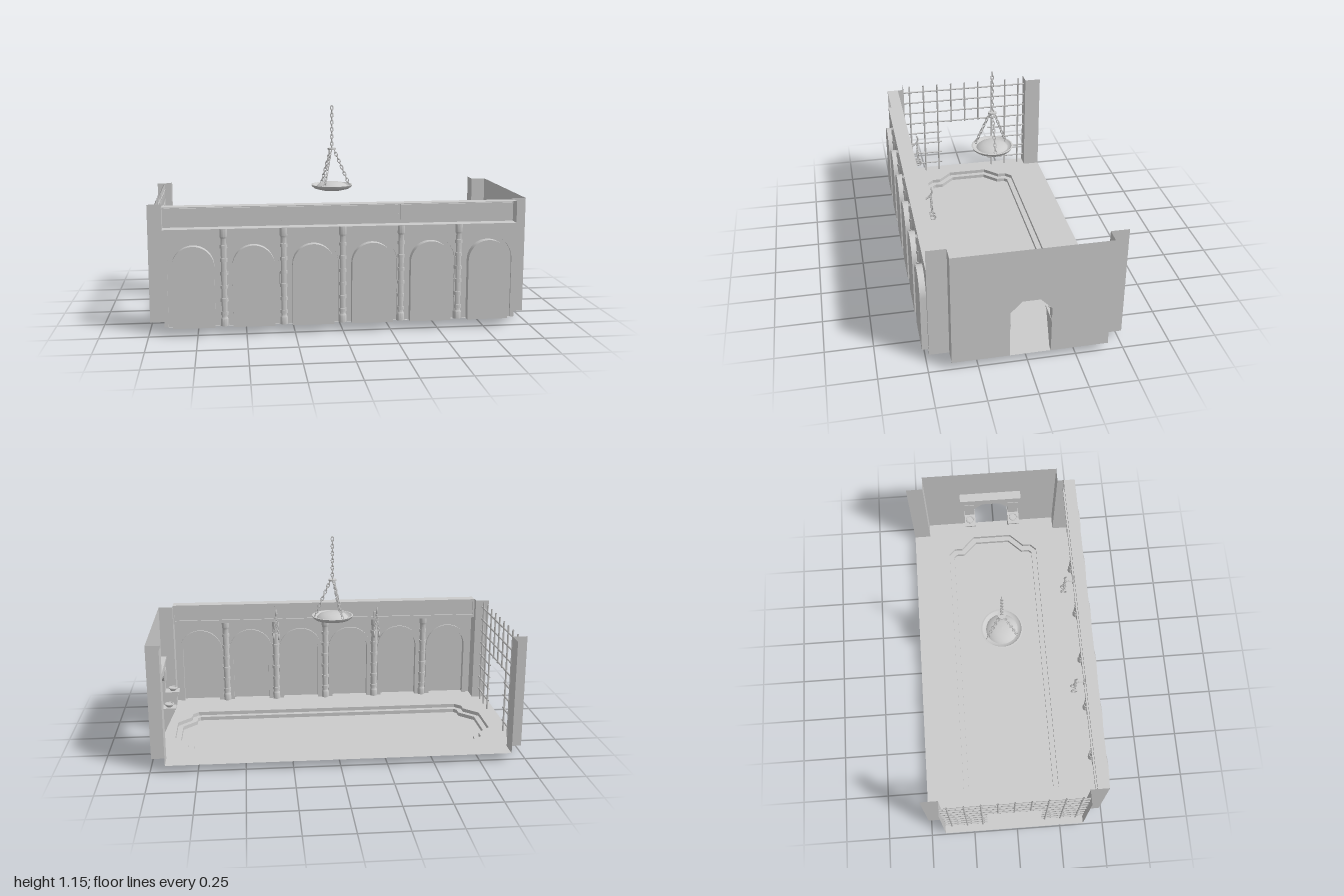
import * as THREE from 'three';
import { toCreasedNormals, mergeGeometries } from 'three/addons/utils/BufferGeometryUtils.js';

const F = 0.042, TOP = 0.665, ZC = -0.018; // floor height, wall top, centre line of the room in z
const mat = new THREE.MeshStandardMaterial({ color: 0xcccccc, side: THREE.DoubleSide });
const V = (x, y, z) => new THREE.Vector3(x, y, z);

function add(parent, name, geo, x = 0, y = 0, z = 0) {
  const m = new THREE.Mesh(geo, mat);
  m.name = name;
  m.position.set(x, y, z);
  parent.add(m);
  return m;
}

// Sheet spanning rows of points
function sheet(rows) {
  const p = [];
  for (let i = 0; i + 1 < rows.length; i++)
    for (let j = 0; j + 1 < rows[i].length; j++) {
      const [a, b, c, d] = [rows[i][j], rows[i][j + 1], rows[i + 1][j + 1], rows[i + 1][j]];
      for (const v of [a, b, c, a, c, d]) p.push(v.x, v.y, v.z);
    }
  const g = new THREE.BufferGeometry();
  g.setAttribute('position', new THREE.Float32BufferAttribute(p, 3));
  g.computeVertexNormals();
  return toCreasedNormals(g, 0.6);
}
const shapeOf = pts => new THREE.Shape(pts.map(([x, y]) => new THREE.Vector2(x, y)));
const flat = pts => new THREE.ShapeGeometry(shapeOf(pts));
const box = (x0, x1, y0, y1, z0, z1) =>
  new THREE.BoxGeometry(x1 - x0, y1 - y0, z1 - z0).translate((x0 + x1) / 2, (y0 + y1) / 2, (z0 + z1) / 2);
const extrude = (pts, depth) => new THREE.ExtrudeGeometry(shapeOf(pts), { depth, bevelEnabled: false });

// Arch outline from left foot to right foot
function archPoints(cx, half, top) {
  const pts = [[cx - half, F]];
  for (let i = 0; i <= 20; i++) {
    const a = Math.PI * (1 - i / 20);
    pts.push([cx + half * Math.cos(a), top - half + half * Math.sin(a)]);
  }
  pts.push([cx + half, F]);
  return pts;
}

// Chain of alternating links between two points
function chain(parent, name, from, to, count, size = 1) {
  const dir = to.clone().sub(from), links = [];
  const q = new THREE.Quaternion().setFromUnitVectors(V(0, 1, 0), dir.clone().normalize());
  for (let i = 0; i < count; i++) {
    const g = new THREE.TorusGeometry(0.0075 * size, 0.0025 * size, 6, 10).scale(1, 1.75, 1);
    g.rotateY(i % 2 ? 0 : Math.PI / 2).applyQuaternion(q);
    const p = from.clone().addScaledVector(dir, (i + 0.5) / count);
    links.push(g.translate(p.x, p.y, p.z));
  }
  add(parent, name, mergeGeometries(links));
}

// Stepped outline of the basin, inset by d
function basinOutline(d) {
  const k = d * 0.4;
  const quarter = [[0.893 - d, 0.118 - k], [0.815 - d, 0.198 - k], [0.815 - d, 0.245 - k], [0.78 - k, 0.281 - d]];
  const back = [...quarter].reverse();
  return [...quarter, ...back.map(([x, z]) => [-x, z]), ...quarter.map(([x, z]) => [-x, -z]),
    ...back.map(([x, z]) => [x, -z])].map(([x, z]) => [x, z + ZC]);
}

function buildFloor(root) {
  const floor = shapeOf([[-0.92, -0.515], [0.92, -0.515], [0.92, -0.418], [1, -0.418], [1, 0.383], [0.92, 0.383],
    [0.92, 0.485], [-0.92, 0.485], [-0.92, 0.383], [-1, 0.383], [-1, -0.418], [-0.92, -0.418]].map(([x, z]) => [x, -z]));
  const outer = basinOutline(0), inner = basinOutline(0.03);
  floor.holes.push(new THREE.Path(outer.map(([x, z]) => new THREE.Vector2(x, -z))));
  add(root, 'floor', new THREE.ShapeGeometry(floor).rotateX(-Math.PI / 2), 0, F, 0);
  const ring = (o, y) => [...o, o[0]].map(([x, z]) => V(x, y, z));
  add(root, 'basinSteps', sheet([ring(outer, F), ring(outer, 0.021), ring(inner, 0.021), ring(inner, 0)]));
  add(root, 'basinBottom', flat(inner.map(([x, z]) => [x, -z])).rotateX(-Math.PI / 2));
}

function buildArcade(root) {
  const g = new THREE.Group();
  g.name = 'arcadeWall';
  root.add(g);
  const centres = [-2.5, -1.5, -0.5, 0.5, 1.5, 2.5].map(i => i * 0.307);
  const wall = [[-0.92, F], ...centres.flatMap(c => archPoints(c, 0.131, 0.49)), [0.92, F], [0.92, 0.55], [-0.92, 0.55]];
  add(g, 'wall', flat(wall), 0, 0, 0.485);
  // Raised arch trim and shallow niche
  for (const c of centres) {
    const row = (half, top, z) => archPoints(c, half, top).map(([x, y]) => V(x, y, z));
    add(g, 'archTrim', sheet([row(0.131, 0.49, 0.485), row(0.131, 0.49, 0.474),
      row(0.108, 0.467, 0.474), row(0.108, 0.467, 0.515)]));
    add(g, 'nicheBack', flat(archPoints(c, 0.108, 0.467)), 0, 0, 0.515);
    add(g, 'nicheFloor', new THREE.PlaneGeometry(0.216, 0.03).rotateX(-Math.PI / 2), c, F, 0.5);
  }
  // Banded columns
  const profile = [[0.022, F], [0.022, 0.08]];
  for (const y of [0.1, 0.17, 0.24, 0.31, 0.38, 0.45])
    profile.push([0.018, y - 0.012], [0.018, y], [0.022, y], [0.022, y + 0.018], [0.018, y + 0.018]);
  profile.push([0.018, 0.5], [0.022, 0.51], [0.022, 0.55]);
  const column = toCreasedNormals(new THREE.LatheGeometry(profile.map(p => new THREE.Vector2(...p)), 16), 0.5);
  for (let i = -2; i <= 2; i++) add(g, 'column', column, i * 0.306, 0, 0.475);
  // Overhanging frieze with three framed panels
  const line = (y, z) => [V(-0.92, y, z), V(0.92, y, z)];
  add(g, 'friezeLedges', sheet([line(0.55, 0.485), line(0.55, 0.42), line(0.56, 0.42)]));
  add(g, 'friezeTop', sheet([line(TOP, 0.42), line(TOP, 0.485)]));
  const frame = shapeOf([[-0.92, 0.56], [0.92, 0.56], [0.92, TOP], [-0.92, TOP]]);
  for (const c of [-0.612, 0, 0.612]) {
    const rect = [[c - 0.299, 0.569], [c + 0.299, 0.569], [c + 0.299, 0.65], [c - 0.299, 0.65]];
    frame.holes.push(new THREE.Path(rect.map(p => new THREE.Vector2(...p))));
    const loop = z => [...rect, rect[0]].map(([x, y]) => V(x, y, z));
    add(g, 'panelEdge', sheet([loop(0.42), loop(0.43)]));
    add(g, 'panel', flat(rect), 0, 0, 0.43);
  }
  add(g, 'friezeFrame', new THREE.ShapeGeometry(frame), 0, 0, 0.42);
  // Hanging shackles on wall hooks
  for (const x of [-0.306, 0.306]) {
    const s = new THREE.Group();
    s.name = 'shackles';
    s.position.x = x;
    g.add(s);
    const arm = new THREE.CatmullRomCurve3([V(0, 0.575, 0.425), V(0, 0.585, 0.39), V(0, 0.62, 0.367), V(0, 0.64, 0.375)]);
    add(s, 'hook', new THREE.TubeGeometry(arm, 12, 0.005, 6));
    add(s, 'hookPlate', box(-0.012, 0.012, 0.56, 0.6, 0.415, 0.425));
    for (const d of [-1, 1]) {
      chain(s, 'shackleChain', V(0, 0.595, 0.375), V(d * 0.014, 0.49, 0.37), 6, 0.8);
      add(s, 'cuff', new THREE.TorusGeometry(0.015, 0.005, 6, 14).rotateY(Math.PI / 2), d * 0.015, 0.47, 0.37);
    }
  }
}

function buildSides(root) {
  // Folded corner walls
  for (const x of [-1, 1])
    for (const [z0, z1] of [[0.383, 0.485], [-0.418, -0.515]]) {
      const row = y => [V(x, y, z0), V(x * 0.92, y, z0), V(x * 0.92, y, z1)];
      add(root, 'cornerWall', sheet([row(F), row(TOP)]));
    }
  // Side wall with doorway, drawn in z and y
  const side = flat([[-0.418, F], [-0.18, F], [-0.18, 0.375], [0.155, 0.375], [0.155, F], [0.383, F], [0.383, TOP], [-0.418, TOP]]);
  add(root, 'doorWall', side.rotateY(-Math.PI / 2), 1, 0, 0);

  const door = new THREE.Group();
  door.name = 'doorway';
  root.add(door);
  add(door, 'lintel', box(0.955, 1, 0.367, 0.415, -0.2, 0.165));
  add(door, 'lintelCap', box(0.948, 1, 0.415, 0.427, -0.205, 0.17));
  for (const [outer, inner] of [[0.155, 0.09], [-0.18, -0.12]]) {
    const [z0, z1] = [Math.min(outer, inner), Math.max(outer, inner)], mid = (z0 + z1) / 2;
    const s = Math.sign(outer);
    add(door, 'postBlock', box(0.958, 1, 0.235, 0.295, z0, z1));
    add(door, 'postCapital', box(0.952, 1, 0.295, 0.367, z0, z1));
    // Slanted corbel carrying a bowl
    add(door, 'corbel', extrude([[1, F], [0.97, F], [0.885, 0.215], [0.885, 0.225], [1, 0.225]], z1 - z0), 0, 0, z0);
    add(door, 'corbelTop', box(0.878, 1, 0.225, 0.235, z0 - 0.003, z1 + 0.003));
    add(door, 'bowl', new THREE.CylinderGeometry(0.024, 0.015, 0.016, 14), 0.915, 0.243, mid);
    add(door, 'bowlRim', new THREE.TorusGeometry(0.023, 0.004, 6, 16).rotateX(Math.PI / 2), 0.915, 0.251, mid);
    const brace = extrude([[inner, 0.367], [inner, 0.305], [inner - s * 0.06, 0.367]], 0.04);
    add(door, 'brace', brace.rotateY(-Math.PI / 2), 1, 0, 0);
  }

  // Barred grille with a central opening
  const bars = [];
  const bar = (a, b) => bars.push(new THREE.TubeGeometry(new THREE.LineCurve3(a, b), 1, 0.0055, 6));
  const X = -0.96;
  for (let i = -4; i <= 4; i++) {
    const z = ZC + i * 0.09;
    bar(V(X, Math.abs(i) < 2 ? 0.39 : F, z), V(X, TOP, z));
  }
  for (let y = 0.1; y < 0.65; y += 0.075) {
    if (y > 0.38) bar(V(X, y, -0.418), V(X, y, 0.383));
    else {
      bar(V(X, y, -0.418), V(X, y, -0.17));
      bar(V(X, y, 0.14), V(X, y, 0.383));
    }
  }
  add(root, 'grille', mergeGeometries(bars));
}

function buildHangingBowl(root) {
  const g = new THREE.Group();
  g.name = 'hangingBrazier';
  g.position.z = ZC + 0.003;
  root.add(g);
  const dish = [[0, 0.669], [0.06, 0.669], [0.07, 0.672], [0.098, 0.679], [0.11, 0.688], [0.116, 0.7], [0.108, 0.701],
    [0.1, 0.693], [0.085, 0.69]].map(p => new THREE.Vector2(...p));
  add(g, 'dish', toCreasedNormals(new THREE.LatheGeometry(dish, 32), 0.6));
  const dome = [[0.088, 0.69], [0.075, 0.703], [0.05, 0.712], [0.025, 0.716], [0, 0.717]].map(p => new THREE.Vector2(...p));
  add(g, 'emberMound', new THREE.LatheGeometry(dome, 32));
  add(g, 'hangerDisc', new THREE.CylinderGeometry(0.023, 0.023, 0.009, 20), 0, 0.901, 0);
  for (let i = 0; i < 3; i++) {
    const a = i * Math.PI * 2 / 3, at = (r, y) => V(r * Math.cos(a), y, r * Math.sin(a));
    chain(g, 'dishChain', at(0.012, 0.898), at(0.1, 0.695), 11);
  }
  chain(g, 'ceilingChain', V(0, 0.9, 0), V(0, 1.14, 0), 12);
}

export function createModel() {
  const root = new THREE.Group();
  root.name = 'dungeonRoom';
  buildFloor(root);
  buildArcade(root);
  buildSides(root);
  buildHangingBowl(root);
  return root;
}
